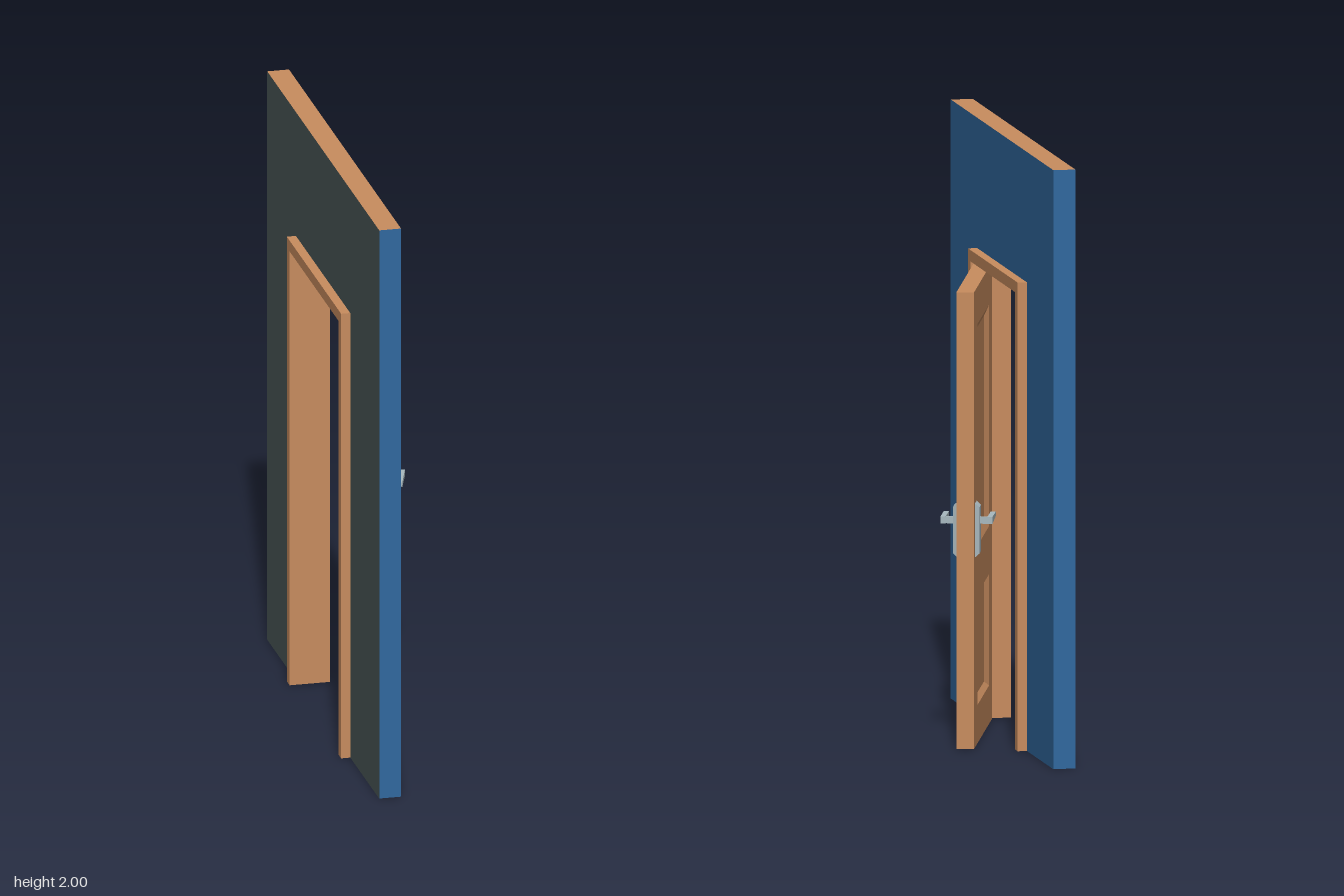
import * as THREE from 'three';

const mat = (color) => new THREE.MeshStandardMaterial({ color, flatShading: true });
const wood = mat(0xc98d5f), blue = mat(0x3169a0), dark = mat(0x4a5858), metal = mat(0xa9b9bf);

function mesh(name, geometry, material, parent) {
  const m = new THREE.Mesh(geometry, material);
  m.name = name;
  parent.add(m);
  return m;
}

// Box given by its min and max corners
function box(name, a, b, material, parent) {
  const m = mesh(name, new THREE.BoxGeometry(b[0] - a[0], b[1] - a[1], b[2] - a[2]), material, parent);
  m.position.set((a[0] + b[0]) / 2, (a[1] + b[1]) / 2, (a[2] + b[2]) / 2);
  return m;
}

// Move the vertices of a geometry by a rule
function warp(geometry, rule) {
  const p = geometry.attributes.position, v = new THREE.Vector3();
  for (let i = 0; i < p.count; i++) {
    v.fromBufferAttribute(p, i);
    rule(v);
    p.setXYZ(i, v.x, v.y, v.z);
  }
  geometry.computeVertexNormals();
  return geometry;
}

// Sunken panel: a sloped border running down to a flat floor
function sunkenPanel([x0, x1, y0, y1, bx, by], z, side) {
  const loop = (dx, dy, zz) => {
    const c = [[x0 + dx, y0 + dy, zz], [x1 - dx, y0 + dy, zz], [x1 - dx, y1 - dy, zz], [x0 + dx, y1 - dy, zz]];
    return side > 0 ? c : c.reverse();
  };
  const points = [...loop(0, 0, z * side), ...loop(bx, by, (z - 0.014) * side)];
  const index = [4, 5, 6, 4, 6, 7];
  for (let k = 0; k < 4; k++) {
    const n = (k + 1) % 4;
    index.push(k, n, n + 4, k, n + 4, k + 4);
  }
  const g = new THREE.BufferGeometry();
  g.setAttribute('position', new THREE.Float32BufferAttribute(points.flat(), 3));
  g.setIndex(index);
  const flat = g.toNonIndexed();
  flat.computeVertexNormals();
  return flat;
}

function makeHandle(side, face) {
  const handle = new THREE.Group();
  handle.name = side > 0 ? 'outerHandle' : 'innerHandle';

  // Back plate with chamfered ends and sides
  const plate = mesh('handlePlate', warp(new THREE.BoxGeometry(0.066, 0.18, 0.015), (v) => {
    if (v.z * side > 0) { v.x *= 0.8; v.y *= 0.86; }
  }), metal, handle);
  plate.position.set(0.584, 0.725, side * (face + 0.0075));

  // Spindle
  box('handleSpindle', [0.584, 0.746, side > 0 ? face : -face - 0.045],
    [0.603, 0.768, side > 0 ? face + 0.045 : -face], metal, handle);

  // Lever, narrowing towards its free end
  const lever = mesh('handleLever', warp(new THREE.BoxGeometry(0.123, 0.024, 0.017), (v) => {
    if (v.x < 0) v.y = v.y * 0.6 + 0.004;
  }), metal, handle);
  lever.position.set(0.5415, 0.757, side * (face + 0.0485));
  return handle;
}

function makeDoor() {
  const width = 0.65, height = 1.525, half = 0.029;
  const door = new THREE.Group();
  door.name = 'door';

  // Each panel: x0, x1, y0, y1, border width, border height
  const panels = [[0.105, 0.515, 0.66, 1.4, 0.026, 0.033], [0.105, 0.515, 0.128, 0.5, 0.026, 0.018]];

  // Leaf with openings for the panels
  const outline = new THREE.Shape([[0, 0], [width, 0], [width, height], [0, height]].map((p) => new THREE.Vector2(...p)));
  for (const [x0, x1, y0, y1] of panels) {
    outline.holes.push(new THREE.Path([[x0, y0], [x0, y1], [x1, y1], [x1, y0]].map((p) => new THREE.Vector2(...p))));
  }
  const leaf = new THREE.ExtrudeGeometry(outline, { depth: 2 * half, bevelEnabled: false });
  leaf.translate(0, 0, -half);
  mesh('doorLeaf', leaf, wood, door);

  // Panels and handles on both faces
  for (const side of [1, -1]) {
    panels.forEach((p, i) => mesh(i ? 'lowerPanel' : 'upperPanel', sunkenPanel(p, half, side), wood, door));
    door.add(makeHandle(side, half));
  }
  door.children.forEach((c) => { c.position.z -= half; });

  // Hung on its hinge edge and standing ajar
  const hinge = new THREE.Group();
  hinge.name = 'doorHinge';
  hinge.position.set(-0.055, 0, 0.335);
  hinge.rotation.y = Math.PI / 2 - 0.305;
  hinge.add(door);
  return hinge;
}

export function createModel() {
  const model = new THREE.Group();
  model.name = 'doorInWall';

  // Wall around the doorway, very slightly turned
  const wall = new THREE.Group();
  wall.name = 'wall';
  wall.position.x = -0.113;
  wall.rotation.y = 0.0065;
  model.add(wall);
  const faces = [blue, dark, wood, wood, blue, blue];
  const t = 0.0375, end = 0.775, outer = 0.376, top = 1.565;
  const outline = new THREE.Shape([[-end, 0], [-outer, 0], [-outer, top], [outer, top], [outer, 0], [end, 0], [end, 2], [-end, 2]]
    .map((p) => new THREE.Vector2(...p)));
  const sheet = new THREE.ShapeGeometry(outline);
  for (const side of [1, -1]) {
    const face = mesh(side > 0 ? 'wallFront' : 'wallBack', sheet, side > 0 ? blue : dark, wall);
    face.rotation.y = side * Math.PI / 2;
    face.position.x = side * t;
  }
  // Wall core, just inside the two painted faces
  const c = t - 0.0005;
  box('wallTop', [-c, top, -end], [c, 2, end], faces, wall);
  box('wallLeft', [-c, 0, outer], [c, top, end], faces, wall);
  box('wallRight', [-c, 0, -end], [c, top, -outer], faces, wall);

  // Door frame standing proud of both wall faces
  const f = 0.0685, inner = 0.336, head = 1.527;
  const frame = new THREE.Group();
  frame.name = 'doorFrame';
  wall.add(frame);
  box('frameHead', [-f, head, -outer], [f, top, outer], wood, frame);
  box('frameHingeJamb', [-f, 0, inner], [f, head, outer], wood, frame);
  box('frameLatchJamb', [-f, 0, -outer], [f, head, -inner], wood, frame);

  model.add(makeDoor());
  return model;
}
